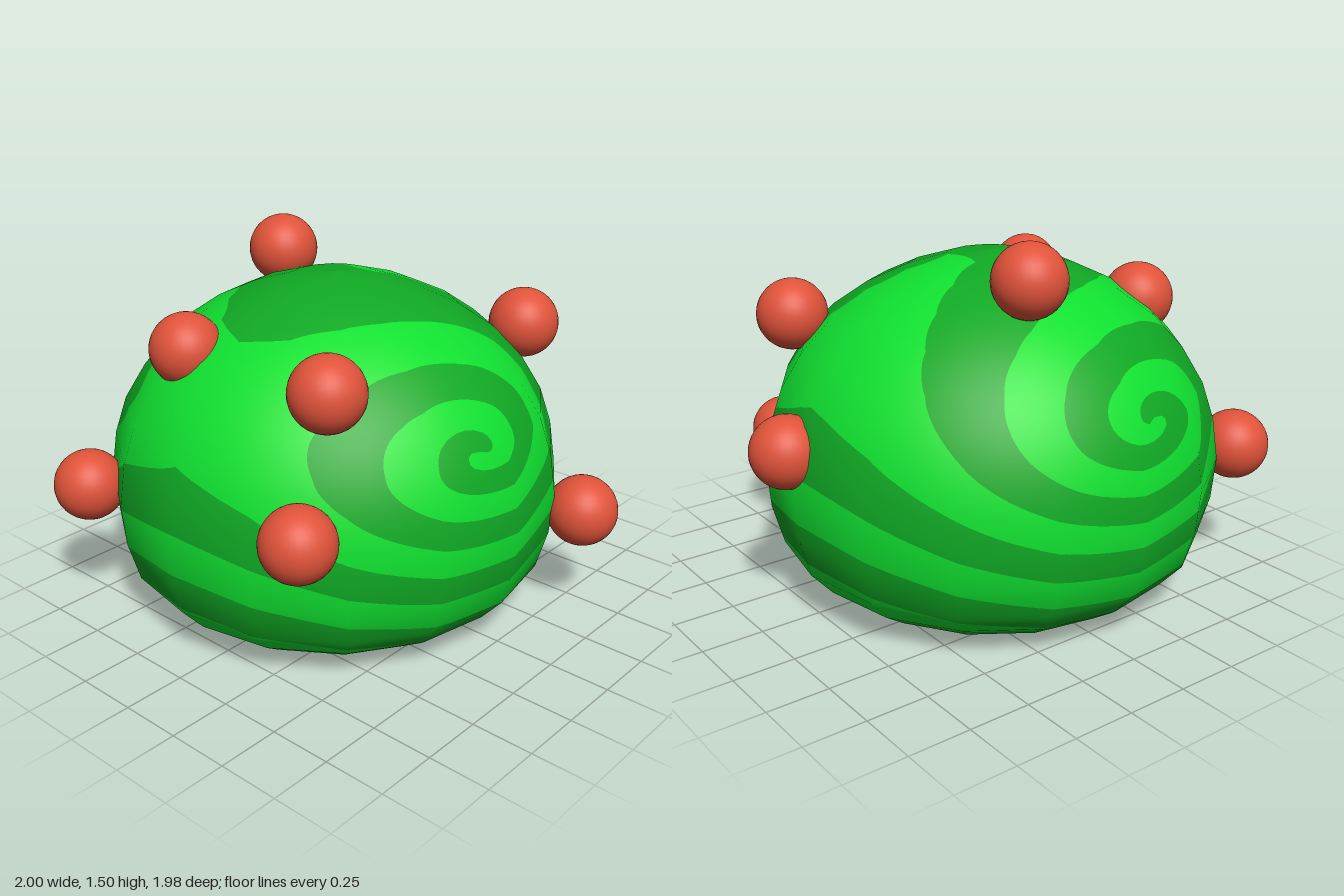
import * as THREE from 'three';

const lightGreen = new THREE.MeshStandardMaterial({ color: 0x10e030 });
const darkGreen = new THREE.MeshStandardMaterial({ color: 0x10a824 });
const red = new THREE.MeshStandardMaterial({ color: 0xe0533a });
lightGreen.name = 'light green';
darkGreen.name = 'dark green';
red.name = 'berry red';

const BODY_X = -0.045, BODY_Z = -0.07;

// Spiral stripe field seen along z: positive is dark, negative is light
function stripe(p) {
  const dx = p.x + 0.16, dy = (p.y - 0.88) / (p.y > 0.88 ? 0.62 : 0.52);
  if (p.y < 0.1) return 1;
  const turns = Math.pow(Math.hypot(dx, dy) / 0.28, 1 / 1.2);
  return Math.cos(2 * Math.PI * turns - Math.atan2(dy, dx));
}

const mix = (a, b, t) => ({ p: a.p.clone().lerp(b.p, t), n: a.n.clone().lerp(b.n, t).normalize() });

// Keep the part of a triangle where sign * stripe is positive
function clip(tri, sign, out) {
  const poly = [];
  tri.forEach((a, i) => {
    const b = tri[(i + 1) % 3], sa = a.s * sign, sb = b.s * sign;
    if (sa >= 0) poly.push(a);
    if ((sa >= 0) !== (sb >= 0)) poly.push(mix(a, b, sa / (sa - sb)));
  });
  for (let i = 1; i + 1 < poly.length; i++) out.push(poly[0], poly[i], poly[i + 1]);
}

function toMesh(verts, material, name) {
  const g = new THREE.BufferGeometry();
  g.setAttribute('position', new THREE.Float32BufferAttribute(verts.flatMap(v => v.p.toArray()), 3));
  g.setAttribute('normal', new THREE.Float32BufferAttribute(verts.flatMap(v => v.n.toArray()), 3));
  const mesh = new THREE.Mesh(g, material);
  mesh.name = name;
  return mesh;
}

function createBody() {
  // Sixteen-sided dome with a shallow hollow underneath
  const profile = [
    [0, 0.06], [0.25, 0.045], [0.5, 0.01], [0.66, 0.045], [0.77, 0.12], [0.86, 0.22],
    [0.905, 0.38], [0.92, 0.55], [0.895, 0.72], [0.845, 0.87], [0.76, 1.01],
    [0.645, 1.135], [0.5, 1.235], [0.34, 1.31], [0.175, 1.362], [0, 1.38],
  ].map(([r, y]) => new THREE.Vector2(r, y));
  const coarse = new THREE.LatheGeometry(profile, 16).toNonIndexed();
  coarse.translate(BODY_X, 0, BODY_Z);
  const pos = coarse.attributes.position, nor = coarse.attributes.normal;
  const dark = [], light = [], N = 8;

  // Subdivide each face and cut it along the stripe edges
  for (let f = 0; f < pos.count; f += 3) {
    const c = [0, 1, 2].map(k => ({
      p: new THREE.Vector3().fromBufferAttribute(pos, f + k),
      n: new THREE.Vector3().fromBufferAttribute(nor, f + k),
    }));
    const area = c[1].p.clone().sub(c[0].p).cross(c[2].p.clone().sub(c[0].p)).length();
    if (area < 1e-6) continue;
    const at = (i, j) => {
      const v = { p: new THREE.Vector3(), n: new THREE.Vector3() };
      [(N - i - j) / N, i / N, j / N].forEach((w, k) => {
        v.p.addScaledVector(c[k].p, w);
        v.n.addScaledVector(c[k].n, w);
      });
      v.n.normalize();
      v.s = stripe(v.p) || 1e-6;
      return v;
    };
    const add = tri => { clip(tri, 1, dark); clip(tri, -1, light); };
    for (let i = 0; i < N; i++) {
      for (let j = 0; i + j < N; j++) {
        add([at(i, j), at(i + 1, j), at(i, j + 1)]);
        if (i + j < N - 1) add([at(i + 1, j), at(i + 1, j + 1), at(i, j + 1)]);
      }
    }
  }
  const body = new THREE.Group();
  body.name = 'body';
  body.add(toMesh(dark, darkGreen, 'darkSpiral'), toMesh(light, lightGreen, 'lightSpiral'));
  return body;
}

export function createModel() {
  const model = new THREE.Group();
  model.name = 'spiralBush';
  model.add(createBody());

  // Berries scattered over the dome
  const berry = new THREE.SphereGeometry(0.143, 32, 20);
  [
    [0.125, 1.362, -0.515], [-0.605, 1.15, 0.405], [0.588, 1.118, 0.405],
    [0.852, 0.713, 0.01], [0.415, 0.465, 0.845], [-0.82, 0.67, 0.46],
    [-0.857, 0.56, -0.66], [-0.615, 1.15, -0.31],
  ].forEach((p, i) => {
    const m = new THREE.Mesh(berry, red);
    m.name = `berry${i + 1}`;
    m.position.set(...p);
    model.add(m);
  });
  return model;
}
